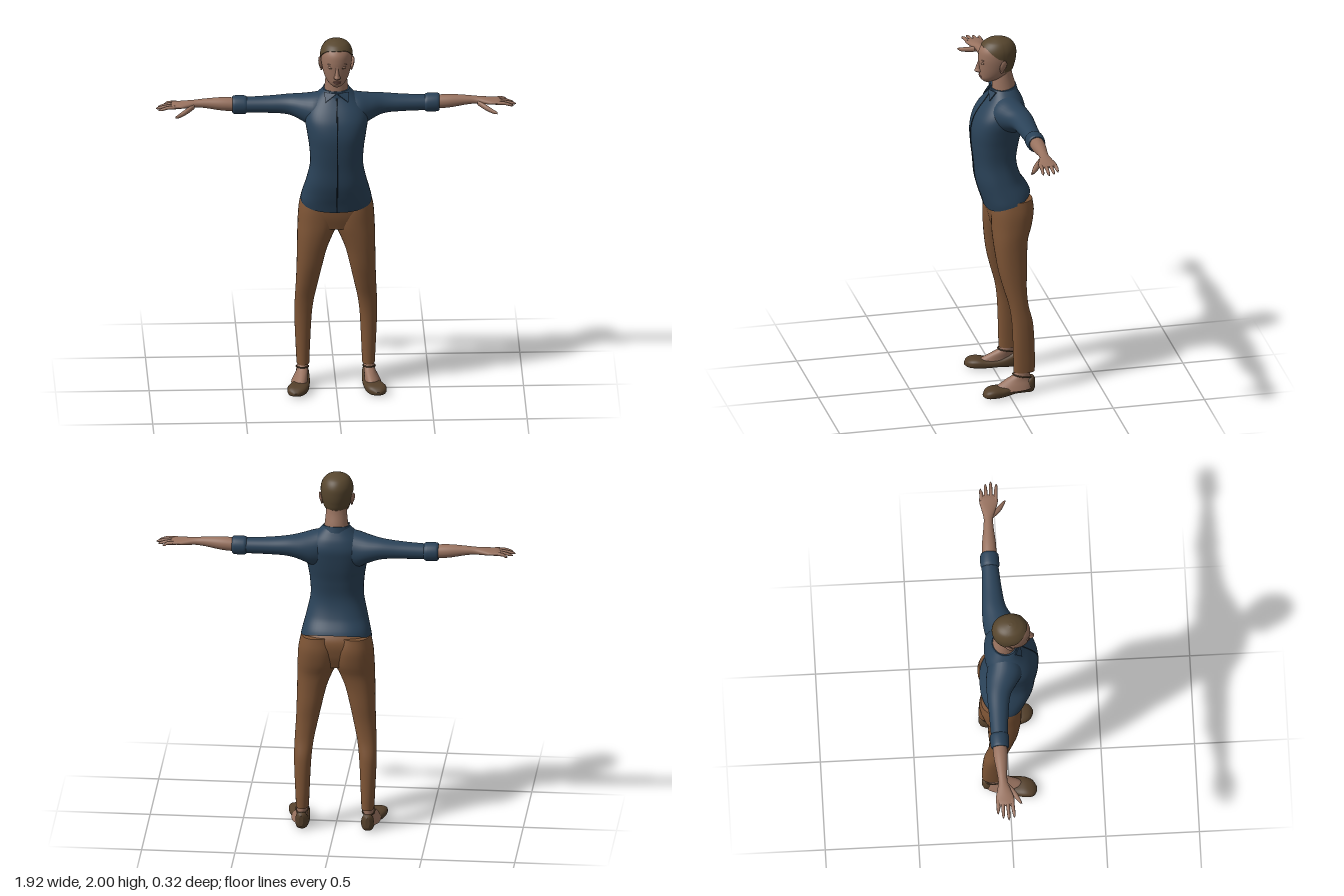
import * as THREE from 'three';

const mat = (name, color) => {
  const m = new THREE.MeshStandardMaterial({ color });
  m.name = name;
  return m;
};

// Smooth interpolation of section rows [t, a0, a1, b0, b1] at t
function sample(rows, t) {
  const n = rows.length - 1;
  let i = 0;
  while (i < n - 1 && t > rows[i + 1][0]) i++;
  const h = rows[i + 1][0] - rows[i][0];
  const u = THREE.MathUtils.clamp((t - rows[i][0]) / h, 0, 1);
  const slope = (k, c) => {
    const p = rows[Math.max(k - 1, 0)], q = rows[Math.min(k + 1, n)];
    return (q[c] - p[c]) / (q[0] - p[0]);
  };
  return [1, 2, 3, 4].map((c) => {
    const u2 = u * u, u3 = u2 * u;
    return (2 * u3 - 3 * u2 + 1) * rows[i][c] + (3 * u2 - 2 * u3) * rows[i + 1][c]
      + h * ((u3 - 2 * u2 + u) * slope(i, c) + (u3 - u2) * slope(i + 1, c));
  });
}

// Closed loft along an axis; lo and hi may vary with the sine of the section angle
function loft(axis, rows, { n = 2, seg = 32, steps = 28, pad = 0, lo, hi, mirror = false } = {}) {
  const pos = [], idx = [];
  const t0 = lo || (() => rows[0][0]), t1 = hi || (() => rows[rows.length - 1][0]);
  const pw = (v) => Math.sign(v) * Math.abs(v) ** (2 / n);
  const flip = (axis !== 'y') !== mirror;
  const tri = (a, b, c) => (flip ? idx.push(a, c, b) : idx.push(a, b, c));
  for (let i = 0; i <= steps; i++) {
    for (let j = 0; j < seg; j++) {
      const ang = (j / seg) * Math.PI * 2, s = Math.sin(ang);
      const t = THREE.MathUtils.lerp(t0(s), t1(s), i / steps);
      const [a0, a1, b0, b1] = sample(rows, t);
      const a = (a0 + a1) / 2 + ((a1 - a0) / 2 + pad) * pw(Math.cos(ang));
      const b = (b0 + b1) / 2 + ((b1 - b0) / 2 + pad) * pw(s);
      const p = axis === 'y' ? [a, t, b] : axis === 'x' ? [t, a, b] : [a, b, t];
      pos.push(mirror ? -p[0] : p[0], p[1], p[2]);
      if (i < steps) {
        const k = i * seg + j, r = i * seg + ((j + 1) % seg);
        tri(k, k + seg, r);
        tri(r, k + seg, r + seg);
      }
    }
  }
  // End caps with their own vertices, so the rims stay crisp
  for (const end of [0, steps]) {
    const ring = pos.slice(end * seg * 3, (end + 1) * seg * 3);
    const base = pos.length / 3, mid = [0, 0, 0];
    ring.forEach((v, k) => { mid[k % 3] += v / seg; });
    pos.push(...ring, ...mid);
    for (let j = 0; j < seg; j++) {
      const a = base + j, b = base + ((j + 1) % seg), c = base + seg;
      if (end) tri(a, c, b); else tri(a, b, c);
    }
  }
  const g = new THREE.BufferGeometry();
  g.setAttribute('position', new THREE.Float32BufferAttribute(pos, 3));
  g.setIndex(idx);
  g.computeVertexNormals();
  return g;
}

export function createModel() {
  const model = new THREE.Group();
  model.name = 'standingWoman';
  const skin = mat('skin', 0x98725f), shirt = mat('navyShirt', 0x2a4258), seam = mat('darkSeam', 0x17242f);
  const trousers = mat('brownTrousers', 0x7d5435), shoe = mat('darkBrownShoe', 0x54402b);
  const hair = mat('hair', 0x57462e), lips = mat('lips', 0x85594d);
  const add = (name, geometry, material) => {
    const m = new THREE.Mesh(geometry, material);
    m.name = name;
    model.add(m);
    return m;
  };
  const pair = (name, axis, rows, material, opt = {}) => {
    add('left' + name, loft(axis, rows, opt), material);
    add('right' + name, loft(axis, rows, { ...opt, mirror: true }), material);
  };
  const blob = (name, x, y, z, rx, ry, rz, material) => {
    const m = add(name, new THREE.SphereGeometry(1, 20, 14), material);
    m.position.set(x, y, z);
    m.scale.set(rx, ry, rz);
    return m;
  };

  // Head, neck and hair cap
  const head = [[1.752, -.02, .02, .045, .092], [1.77, -.043, .043, 0, .11], [1.8, -.063, .063, -.05, .116],
    [1.85, -.077, .077, -.072, .12], [1.9, -.083, .083, -.08, .121], [1.94, -.079, .079, -.076, .112],
    [1.975, -.058, .058, -.052, .082], [1.992, -.028, .028, -.015, .045], [1.997, -.006, .006, .01, .024]];
  add('head', loft('y', head, { steps: 44, seg: 44 }), skin);
  add('neck', loft('y', [[1.66, -.072, .072, -.09, .05], [1.73, -.062, .062, -.078, .045],
    [1.79, -.056, .056, -.062, .04], [1.84, -.052, .052, -.055, .04]]), skin);
  const hairline = (s) => (s > -.15
    ? THREE.MathUtils.lerp(1.895, 1.957, THREE.MathUtils.smoothstep(s, -.15, .95))
    : THREE.MathUtils.lerp(1.895, 1.812, THREE.MathUtils.smoothstep(-s, .15, .4)));
  add('hairCap', loft('y', head, { steps: 36, seg: 64, pad: .004, lo: hairline }), hair).position.y = .003;

  // Face
  add('nose', loft('y', [[1.805, -.007, .007, .1, .126], [1.815, -.018, .018, .1, .142],
    [1.83, -.012, .012, .1, .139], [1.865, -.008, .008, .1, .126], [1.888, -.008, .008, .1, .119]], { seg: 20 }), skin);
  blob('upperLip', 0, 1.789, .111, .022, .005, .009, lips);
  blob('lowerLip', 0, 1.782, .109, .018, .006, .009, lips);
  for (const s of [1, -1]) {
    const side = s > 0 ? 'left' : 'right';
    blob(side + 'Eyelid', s * .032, 1.871, .105, .016, .008, .009, skin);
    blob(side + 'Lashes', s * .032, 1.867, .107, .014, .0018, .009, hair);
    blob(side + 'Brow', s * .033, 1.888, .105, .019, .003, .008, skin);
    blob(side + 'Ear', s * .085, 1.862, .005, .009, .034, .02, skin).rotation.set(-.2, s * .35, -s * .15);
    blob(side + 'EarLobe', s * .08, 1.833, .012, .006, .012, .009, skin);
  }

  // Shirt body, with a hem that dips at the front
  const torso = [[1.03, -.185, .185, -.15, .09], [1.08, -.19, .19, -.153, .105], [1.13, -.18, .18, -.148, .122],
    [1.2, -.162, .162, -.104, .14], [1.3, -.142, .142, -.078, .15], [1.4, -.146, .146, -.09, .161],
    [1.48, -.158, .158, -.108, .163], [1.55, -.168, .168, -.12, .146], [1.6, -.16, .16, -.125, .118],
    [1.65, -.128, .128, -.113, .08], [1.68, -.1, .1, -.097, .06], [1.71, -.07, .07, -.08, .048]];
  add('shirtBody', loft('y', torso, { n: 2.4, steps: 50, seg: 48, lo: (s) => 1.08 - .045 * s }), shirt);
  const line = [];
  for (let y = 1.036; y < 1.69; y += .04) line.push(new THREE.Vector3(0, y, sample(torso, y)[3]));
  add('buttonPlacket', new THREE.TubeGeometry(new THREE.CatmullRomCurve3(line), 40, .003, 6), seam);

  // Collar band and two pointed flaps
  add('collarBand', loft('y', [[1.66, -.095, .095, -.1, .066], [1.69, -.08, .08, -.092, .06],
    [1.73, -.066, .066, -.082, .05]], { steps: 10, lo: (s) => 1.68 - .015 * s, hi: (s) => 1.714 - .012 * s }), shirt);
  for (const s of [1, -1]) {
    const flap = new THREE.Shape([[.003, -.012], [.068, .006], [.062, -.052]].map(([x, y]) => new THREE.Vector2(s * x, y)));
    const m = add(s > 0 ? 'leftCollarFlap' : 'rightCollarFlap',
      new THREE.ExtrudeGeometry(flap, { depth: .006, bevelEnabled: false }), shirt);
    m.position.set(0, 1.71, .057);
    m.rotation.set(-.6, s * .3, 0);
  }

  // Sleeves and rolled cuffs
  pair('Sleeve', 'x', [[.05, 1.48, 1.695, -.1, .06], [.12, 1.485, 1.68, -.118, .075], [.18, 1.52, 1.667, -.124, .045],
    [.25, 1.548, 1.658, -.123, .005], [.35, 1.556, 1.648, -.118, -.012], [.5, 1.558, 1.64, -.112, -.025]], shirt);
  pair('Cuff', 'x', [[.475, 1.558, 1.642, -.113, -.022], [.485, 1.55, 1.649, -.119, -.018],
    [.545, 1.551, 1.65, -.117, -.02], [.553, 1.558, 1.644, -.111, -.026]], shirt, { steps: 12 });

  // Forearms, hands and fingers
  pair('ForearmAndHand', 'x', [[.5, 1.565, 1.635, -.106, -.032], [.6, 1.57, 1.642, -.105, -.03],
    [.7, 1.587, 1.637, -.092, -.038], [.75, 1.592, 1.632, -.088, -.038], [.79, 1.591, 1.628, -.095, -.025],
    [.84, 1.594, 1.621, -.106, -.008], [.875, 1.598, 1.617, -.104, -.01], [.885, 1.603, 1.612, -.09, -.02]], skin);
  [[-.093, -.097, .925, 'Little'], [-.069, -.07, .95, 'Ring'], [-.044, -.041, .962, 'Middle'], [-.02, -.012, .948, 'Index']]
    .forEach(([z0, z1, tip, name]) => pair(name + 'Finger', 'x', [[.85, 1.598, 1.617, z0 - .011, z0 + .011],
      [.9, 1.597, 1.615, (z0 + z1) / 2 - .0095, (z0 + z1) / 2 + .0095],
      [tip - .012, 1.59, 1.604, z1 - .007, z1 + .007], [tip, 1.592, 1.597, z1 - .002, z1 + .002]],
    skin, { seg: 12, steps: 14 }));
  pair('Thumb', 'x', [[.755, 1.588, 1.618, -.06, -.035], [.8, 1.57, 1.6, -.032, .006],
    [.84, 1.56, 1.582, .004, .027], [.86, 1.562, 1.573, .024, .035]], skin, { seg: 14, steps: 14 });

  // Trousers: hips and legs
  add('trouserHips', loft('y', [[.925, -.17, .17, -.11, .055], [1, -.2, .2, -.135, .073],
    [1.08, -.185, .185, -.14, .08], [1.15, -.155, .155, -.1, .08]], { n: 2.3 }), trousers);
  pair('TrouserLeg', 'y', [[.12, .141, .209, -.145, -.03], [.2, .138, .213, -.146, -.029], [.4, .128, .221, -.135, -.022],
    [.5, .116, .219, -.112, -.008], [.6, .095, .214, -.105, .02], [.7, .073, .211, -.11, .045],
    [.8, .048, .209, -.113, .06], [.88, .016, .208, -.122, .068], [.94, -.01, .206, -.142, .071],
    [1.03, -.008, .2, -.156, .07], [1.1, .02, .185, -.147, .06]], trousers, { n: 2.2, steps: 44 });

  // Feet, flat shoes and ankle straps
  pair('Foot', 'y', [[.03, .15, .24, -.125, .09], [.055, .152, .226, -.125, .06], [.08, .15, .212, -.122, .015],
    [.105, .147, .206, -.12, -.03], [.14, .147, .206, -.12, -.04]], skin, { steps: 16 });
  pair('Shoe', 'z', [[-.145, .168, .188, .02, .08], [-.132, .147, .208, .002, .096], [-.09, .14, .212, 0, .072],
    [-.03, .14, .226, .004, .052], [.04, .146, .254, 0, .051], [.09, .154, .265, 0, .056],
    [.13, .176, .257, .003, .045], [.147, .208, .23, .012, .026]], shoe, { n: 2.7 });
  for (const s of [1, -1]) {
    const strap = add(s > 0 ? 'leftAnkleStrap' : 'rightAnkleStrap', new THREE.TorusGeometry(1, .1, 8, 32), shoe);
    strap.position.set(s * .178, .098, -.078);
    strap.scale.set(.033, .052, .04);
    strap.rotation.x = Math.PI / 2 - .2;
  }
  return model;
}
